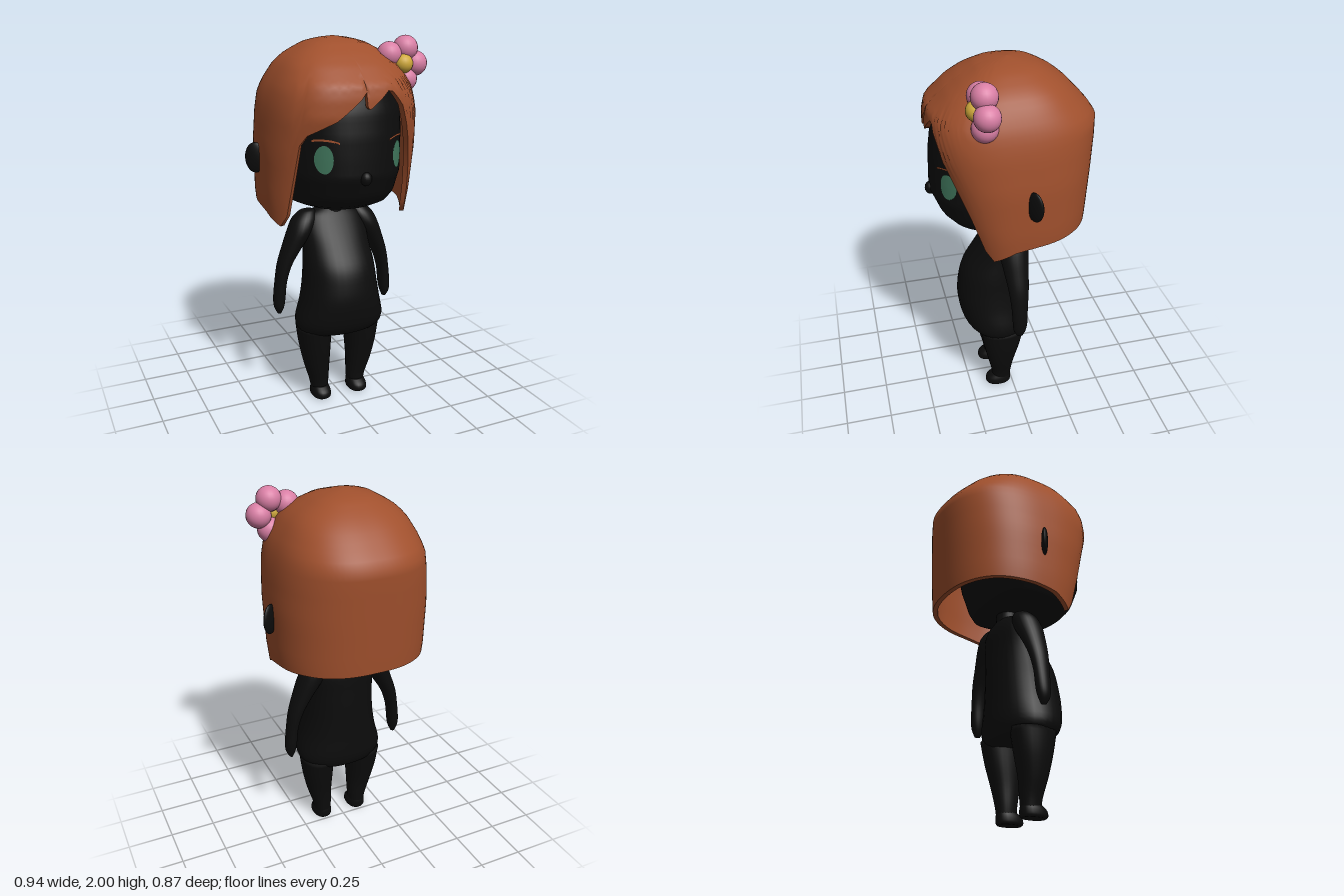
import * as THREE from 'three';

const mat = (name, color) => Object.assign(new THREE.MeshStandardMaterial({ color }), { name });
const M = {
  skin: mat('black body', 0x0c0c0c),
  hair: mat('auburn hair', 0xa0502d),
  iris: mat('green eyes', 0x40765c),
  petal: mat('pink petals', 0xd97fa5),
  pollen: mat('yellow centre', 0xd0aa3c),
};

function mesh(name, geometry, material, parent) {
  const m = new THREE.Mesh(geometry, material);
  m.name = name;
  parent.add(m);
  return m;
}

function build(positions, index) {
  const g = new THREE.BufferGeometry();
  g.setAttribute('position', new THREE.Float32BufferAttribute(positions, 3));
  g.setIndex(index);
  g.computeVertexNormals();
  return g;
}

// Linear lookup of all columns of a table keyed by its first column
function lookup(table, key) {
  let i = 1;
  while (i < table.length - 1 && table[i][0] < key) i++;
  const a = table[i - 1], b = table[i];
  const f = THREE.MathUtils.clamp((key - a[0]) / (b[0] - a[0]), 0, 1);
  return a.map((v, k) => v + (b[k] - v) * f);
}

// Point on a rounded-square section: angle 0 is the front, positive turns to +x
function section(u, w, zf, zb, nf, nb = nf) {
  const s = Math.sin(u), c = Math.cos(u), n = c > 0 ? nf : nb;
  const r = (Math.abs(s) ** n + Math.abs(c) ** n) ** (-1 / n);
  return [w * r * s, (c > 0 ? zf : zb) * r * c];
}

// Smoothly interpolated rings, bottom to top: [y, centreX, halfWidth, frontZ, backZ]
function loft(rings, n = 2.2, seg = 32, sub = 4) {
  const rows = [];
  for (let i = 0; i < rings.length - 1; i++) {
    const p = [rings[Math.max(i - 1, 0)], rings[i], rings[i + 1], rings[Math.min(i + 2, rings.length - 1)]];
    for (let j = 0; j < sub; j++) {
      const t = j / sub;
      rows.push(p[1].map((b, k) => {
        const a = p[0][k], c = p[2][k], d = p[3][k];
        return b + 0.5 * t * (c - a + t * (2 * a - 5 * b + 4 * c - d + t * (3 * (b - c) + d - a)));
      }));
    }
  }
  rows.push(rings[rings.length - 1]);
  const pos = [], idx = [];
  for (const [y, cx, w, zf, zb] of rows) {
    for (let i = 0; i < seg; i++) {
      const mid = (zf + zb) / 2, half = (zf - zb) / 2;
      const [x, z] = section((i / seg) * Math.PI * 2, w, half, half, n);
      pos.push(cx + x, y, mid + z);
    }
  }
  for (let r = 0; r < rows.length - 1; r++) {
    for (let i = 0; i < seg; i++) {
      const a = r * seg + i, b = r * seg + (i + 1) % seg;
      idx.push(a, b, a + seg, b, b + seg, a + seg);
    }
  }
  // End caps
  [[0, rows[0]], [(rows.length - 1) * seg, rows[rows.length - 1]]].forEach(([start, [y, cx, , zf, zb]], top) => {
    const c = pos.length / 3;
    pos.push(cx, y, (zf + zb) / 2);
    for (let i = 0; i < seg; i++) {
      const a = start + i, b = start + (i + 1) % seg;
      top ? idx.push(c, a, b) : idx.push(c, b, a);
    }
  });
  return build(pos, idx);
}

// Head: [y, halfWidth, front, back]
const HEAD = [
  [1.13, 0.10, 0.2, 0.08], [1.14, 0.19, 0.26, 0.11], [1.17, 0.265, 0.32, 0.14], [1.22, 0.295, 0.365, 0.17],
  [1.33, 0.315, 0.41, 0.22], [1.43, 0.318, 0.407, 0.25], [1.53, 0.32, 0.402, 0.27], [1.65, 0.32, 0.385, 0.28],
  [1.77, 0.28, 0.34, 0.25], [1.87, 0.18, 0.2, 0.16], [1.93, 0.02, 0.02, 0.02],
];
const HEAD_N = 2.4;

function headGeometry(seg = 48, rowCount = 48) {
  const pos = [], idx = [];
  for (let r = 0; r <= rowCount; r++) {
    const [y, w, zf, zb] = lookup(HEAD, 1.13 + 0.8 * (0.5 - 0.5 * Math.cos((r / rowCount) * Math.PI)));
    for (let i = 0; i < seg; i++) {
      const [x, z] = section((i / seg) * Math.PI * 2, w, zf, zb, HEAD_N);
      pos.push(x, y, z);
      const a = r * seg + i, b = r * seg + (i + 1) % seg;
      if (r < rowCount) idx.push(a, b, a + seg, b, b + seg, a + seg);
    }
  }
  const c = pos.length / 3;
  pos.push(0, 1.13, 0.06);
  for (let i = 0; i < seg; i++) idx.push(c, (i + 1) % seg, i);
  return build(pos, idx);
}

// Lay a flat geometry onto the face
function onFace(geometry, lift = 0.006) {
  const p = geometry.attributes.position;
  for (let i = 0; i < p.count; i++) {
    const [, w, zf] = lookup(HEAD, p.getY(i));
    p.setZ(i, zf * (1 - Math.min(1, Math.abs(p.getX(i) / w)) ** HEAD_N) ** (1 / HEAD_N) + lift);
  }
  geometry.computeVertexNormals();
  return geometry;
}

// Hair volume: [y, halfWidth, front, back], and its lower edge: [degrees, y]
const HAIR = [
  [1.06, 0.395, 0.26, 0.39], [1.2, 0.408, 0.30, 0.403], [1.45, 0.41, 0.37, 0.42], [1.63, 0.393, 0.42, 0.432],
  [1.72, 0.375, 0.418, 0.435], [1.78, 0.352, 0.405, 0.385], [1.87, 0.3, 0.31, 0.3], [1.92, 0.245, 0.24, 0.235],
  [1.97, 0.155, 0.15, 0.15], [1.99, 0.085, 0.08, 0.08], [2, 0, 0, 0],
];
const EDGE = [
  [-180, 1.16], [-130, 1.155], [-100, 1.14], [-80, 1.12], [-57, 1.06], [-50.5, 1.12], [-46.5, 1.3], [-44, 1.5],
  [-40, 1.55], [-22, 1.62], [-5, 1.72], [-1, 1.75], [0, 1.68], [2, 1.67], [8, 1.70], [18, 1.755], [22, 1.75],
  [29.5, 1.68], [37.5, 1.5], [45, 1.3], [50.5, 1.12], [57, 1.06], [80, 1.12], [100, 1.14], [130, 1.155], [180, 1.16],
];

function hairGeometry(rowCount = 24) {
  const cols = [];
  for (let k = 0; k < EDGE.length - 1; k++) {
    const [a, ya] = EDGE[k], [b, yb] = EDGE[k + 1], n = Math.ceil((b - a) / 4);
    for (let j = 0; j < n; j++) cols.push([a + (b - a) * j / n, ya + (yb - ya) * j / n]);
  }
  const C = cols.length, pos = [], idx = [];
  const point = ([deg, edge], t, inner) => {
    const [y, w, zf, zb] = lookup(HAIR, edge + (2 - edge) * Math.sin(t * Math.PI / 2));
    const k = inner ? 0.935 : 1;
    const [x, z] = section(deg * Math.PI / 180, w * k, zf * k, zb * k, 2.8, 2.4);
    pos.push(x, inner ? y - 0.03 * t : y, z);
  };
  // Outer and inner shells
  for (const inner of [false, true]) {
    const base = pos.length / 3;
    for (let r = 0; r <= rowCount; r++) cols.forEach((c, i) => {
      point(c, r / rowCount, inner);
      if (r === rowCount) return;
      const a = base + r * C + i, b = base + r * C + (i + 1) % C;
      if (inner) idx.push(a, a + C, b, b, a + C, b + C);
      else idx.push(a, b, a + C, b, b + C, a + C);
    });
  }
  // Rim joining the two
  const base = pos.length / 3;
  for (const inner of [false, true]) cols.forEach((c) => point(c, 0, inner));
  for (let i = 0; i < C; i++) {
    const a = base + i, b = base + (i + 1) % C;
    idx.push(a, a + C, b, b, a + C, b + C);
  }
  return build(pos, idx);
}

export function createModel() {
  const model = new THREE.Group();
  model.name = 'chibiFigure';

  mesh('head', headGeometry(), M.skin, model);
  mesh('nose', new THREE.SphereGeometry(1, 16, 12).scale(0.03, 0.035, 0.03).translate(0, 1.33, 0.405), M.skin, model);
  mesh('hair', hairGeometry(), M.hair, model);

  mesh('neck', new THREE.CylinderGeometry(0.06, 0.065, 0.16, 24).translate(0, 1.12, 0.0), M.skin, model);
  mesh('torso', loft([
    [0.395, 0, 0.17, 0.15, -0.05], [0.42, 0, 0.225, 0.22, -0.08], [0.48, 0, 0.25, 0.265, -0.1],
    [0.6, 0, 0.222, 0.285, -0.1], [0.7, 0, 0.205, 0.277, -0.1], [0.8, 0, 0.195, 0.25, -0.1],
    [0.9, 0, 0.185, 0.185, -0.098], [1.0, 0, 0.18, 0.115, -0.095], [1.06, 0, 0.155, 0.075, -0.075],
    [1.09, 0, 0.1, 0.05, -0.055], [1.1, 0, 0.06, 0.04, -0.04],
  ]), M.skin, model);

  for (const s of [1, -1]) {
    const side = s > 0 ? 'left' : 'right';
    mesh(side + 'Arm', loft([
      [0.515, s * 0.325, 0.01, 0.02, -0.01], [0.55, s * 0.326, 0.026, 0.04, -0.025],
      [0.6, s * 0.323, 0.033, 0.045, -0.035], [0.7, s * 0.312, 0.033, 0.05, -0.04],
      [0.8, s * 0.287, 0.041, 0.06, -0.05], [0.9, s * 0.24, 0.056, 0.075, -0.06],
      [0.98, s * 0.197, 0.07, 0.085, -0.07], [1.04, s * 0.17, 0.068, 0.07, -0.068],
      [1.08, s * 0.15, 0.045, 0.04, -0.045], [1.09, s * 0.14, 0.02, 0.02, -0.02],
    ], 2, 24), M.skin, model);
    mesh(side + 'Leg', loft([
      [0.03, s * 0.112, 0.045, 0.115, 0.012], [0.1, s * 0.116, 0.054, 0.122, 0.005],
      [0.2, s * 0.13, 0.07, 0.145, -0.01], [0.32, s * 0.14, 0.085, 0.17, -0.04], [0.44, s * 0.145, 0.093, 0.19, -0.065],
    ], 2.2, 24), M.skin, model);
    mesh(side + 'Foot', loft([
      [0, s * 0.112, 0.045, 0.145, 0.015], [0.012, s * 0.112, 0.054, 0.156, 0.008],
      [0.04, s * 0.112, 0.053, 0.15, 0.007], [0.065, s * 0.112, 0.045, 0.12, 0.012],
    ], 2.3, 24), M.skin, model);

    const ear = mesh(side + 'Ear', new THREE.SphereGeometry(1, 20, 14).scale(0.055, 0.08, 0.018), M.skin, model);
    ear.position.set(s * 0.423, 1.39, -0.035);
    ear.rotation.y = s * 0.6;

    mesh(side + 'Eye', onFace(new THREE.RingGeometry(0.001, 1, 28, 5).scale(0.038, 0.07, 1)
      .translate(s * 0.2, 1.43, 0)), M.iris, model);
    // Slightly arched eyebrow
    const brow = new THREE.PlaneGeometry(0.11, 0.01, 10, 1).translate(s * 0.19, 1.525, 0);
    const p = brow.attributes.position;
    for (let i = 0; i < p.count; i++) {
      const d = Math.abs(p.getX(i)) - 0.19;
      p.setY(i, p.getY(i) + 0.08 * d - 3 * d * d);
    }
    mesh(side + 'Eyebrow', onFace(brow), M.hair, model);
  }

  // Flower hair ornament
  const flower = new THREE.Group();
  flower.name = 'flower';
  flower.position.set(0.3, 1.86, 0.183);
  model.add(flower);
  for (let i = 0; i < 5; i++) {
    const a = (i / 5) * Math.PI * 2;
    mesh('petal', new THREE.SphereGeometry(0.065, 24, 16), M.petal, flower)
      .position.set(0.082 * Math.cos(a), 0.082 * Math.sin(a), 0);
  }
  mesh('flowerCentre', new THREE.SphereGeometry(0.05, 24, 16), M.pollen, flower).position.set(-0.003, 0.003, 0.034);

  return model;
}
